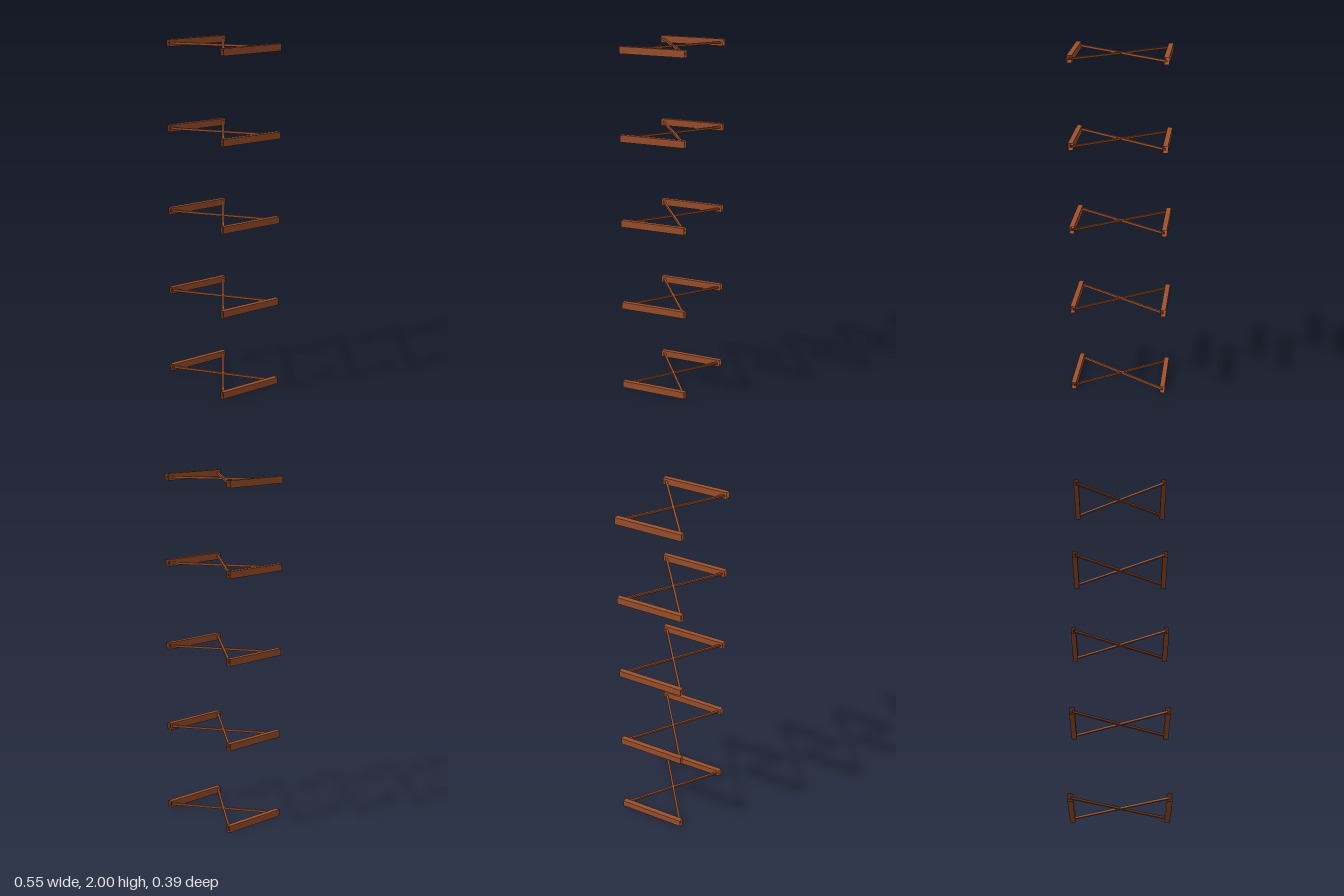
import * as THREE from 'three';

const TIERS = 5, PITCH = 0.49;
const RAIL = { w: 0.029, h: 0.04, len: 0.393, x: 0.2625 };
const BRACE = { w: 0.012, h: 0.012, z: 0.187 };

// Open-ended rectangular tube running along z
function tube(w, h, len) {
  const g = new THREE.CylinderGeometry(Math.SQRT1_2, Math.SQRT1_2, 1, 4, 1, true)
    .rotateY(Math.PI / 4).rotateX(Math.PI / 2).scale(w, h, len).toNonIndexed();
  g.computeVertexNormals();
  return g;
}

export function createModel() {
  const model = new THREE.Group();
  model.name = 'stackedFrames';
  const wood = new THREE.MeshStandardMaterial({ color: 0xa0522d, side: THREE.DoubleSide });
  wood.name = 'brown wood';

  const railGeo = tube(RAIL.w, RAIL.h, RAIL.len);
  const braceGeo = tube(BRACE.w, BRACE.h, 2 * Math.hypot(RAIL.x, BRACE.z));
  const braceAngle = Math.atan2(RAIL.x, BRACE.z);

  for (let i = 0; i < TIERS; i++) {
    const tier = new THREE.Group();
    tier.name = `tier${i + 1}`;
    tier.position.y = RAIL.h / 2 + i * PITCH;
    for (const side of [-1, 1]) {
      const name = side > 0 ? 'left' : 'right';
      // Side rail
      const rail = new THREE.Mesh(railGeo, wood);
      rail.name = `${name}Rail`;
      rail.position.x = side * RAIL.x;
      // Diagonal brace, its ends inside the rails
      const brace = new THREE.Mesh(braceGeo, wood);
      brace.name = `${name}DiagonalBrace`;
      brace.rotation.y = side * braceAngle;
      tier.add(rail, brace);
    }
    model.add(tier);
  }
  return model;
}
